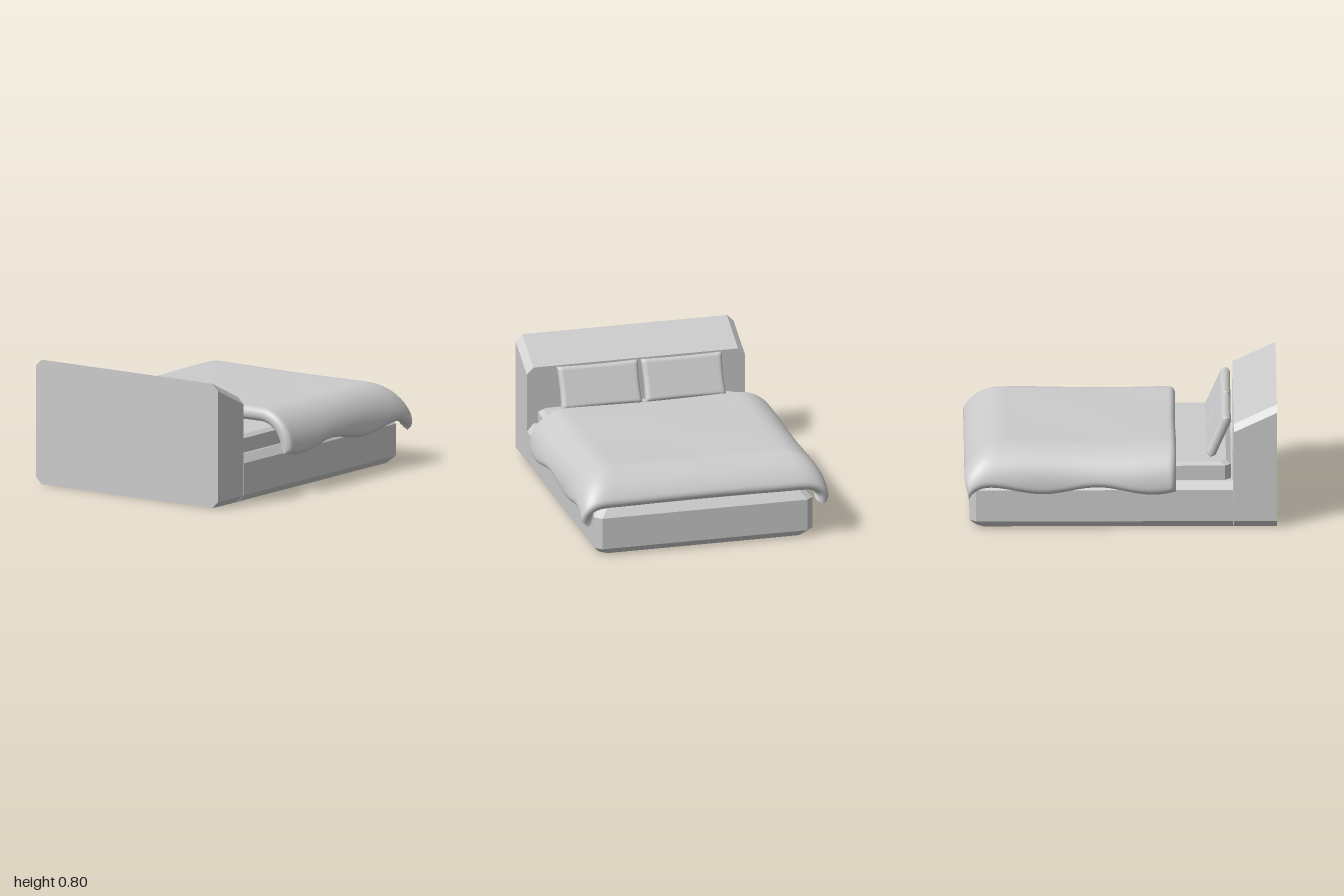
import * as THREE from 'three';
import { mergeVertices } from 'three/addons/utils/BufferGeometryUtils.js';
import { ConvexGeometry } from 'three/addons/geometries/ConvexGeometry.js';

const material = new THREE.MeshStandardMaterial({ color: 0xcccccc });

function part(name, geometry) {
  const mesh = new THREE.Mesh(geometry, material);
  mesh.name = name;
  return mesh;
}

// Bevelled block: each layer is [y, inset]; the head end may stay square
function bevelledBlock(x0, x1, halfZ, cut, layers, squareHead) {
  const points = [];
  for (const [y, inset] of layers) {
    const a = x0 + (squareHead ? 0 : inset), b = x1 - inset, w = halfZ - inset;
    const headCut = squareHead ? 0 : cut;
    for (const s of [-1, 1]) {
      points.push(
        new THREE.Vector3(b, y, s * (w - cut)), new THREE.Vector3(b - cut, y, s * w),
        new THREE.Vector3(a, y, s * (w - headCut)), new THREE.Vector3(a + headCut, y, s * w));
    }
  }
  return new ConvexGeometry(points);
}

// Closed padded sheet: a mid surface thickened along its normal, with rounded hems
function paddedSheet(mid, p0, p1, q0, q1, thick, hem, n) {
  const positions = [], index = [], e = 0.002;
  const ease = i => (1 - Math.cos(Math.PI * i / n)) / 2;
  const roundOff = d => Math.sqrt(Math.max(0, 1 - (1 - Math.min(d / hem, 1)) ** 2));
  for (const side of [1, -1]) {
    const start = positions.length / 3;
    for (let i = 0; i <= n; i++) {
      for (let j = 0; j <= n; j++) {
        const p = p0 + (p1 - p0) * ease(i), q = q0 + (q1 - q0) * ease(j);
        const dp = mid(p + e, q).sub(mid(p - e, q));
        const dq = mid(p, q + e).sub(mid(p, q - e));
        const h = thick * roundOff(Math.min(p - p0, p1 - p)) * roundOff(Math.min(q - q0, q1 - q));
        const v = mid(p, q).addScaledVector(dq.cross(dp).normalize(), side * h);
        positions.push(v.x, v.y, v.z);
        if (i < n && j < n) {
          const a = start + i * (n + 1) + j, b = a + 1, c = a + n + 1, d = c + 1;
          if (side > 0) index.push(a, b, c, b, d, c);
          else index.push(a, c, b, b, c, d);
        }
      }
    }
  }
  let geometry = new THREE.BufferGeometry();
  geometry.setAttribute('position', new THREE.Float32BufferAttribute(positions, 3));
  geometry.setIndex(index);
  geometry = mergeVertices(geometry, 1e-5);
  geometry.computeVertexNormals();
  return geometry;
}

// Distance along a cloth -> [reach, drop]: flat, then an arc, then straight down
function drape(s, flat, r) {
  if (s <= flat) return [s, 0];
  const angle = Math.min((s - flat) / r, Math.PI / 2);
  const rest = s - flat - angle * r;
  return [flat + r * Math.sin(angle), r * (1 - Math.cos(angle)) + rest];
}

function duvetSurface(p, q) {
  const [x, dropX] = drape(p, 0.71, 0.25);
  const hang = 1 + 0.03 * Math.sin(p * 9 + 3.6) * Math.abs(q);
  const [reach, dropZ] = drape(Math.abs(q) * hang, 0.56, 0.2);
  const ripple = 0.004 * Math.sin(p * 6 + 1) * Math.cos(q * 5);
  const sway = 0.008 * Math.cos(p * 6.5 + 0.6) * Math.min(1, dropZ * 5);
  return new THREE.Vector3(
    x + 0.006 * Math.cos(q * 6) * (p < 0 ? -p : 0),
    0.484 + ripple - Math.hypot(dropX, dropZ),
    Math.sign(q) * (reach + sway));
}

// Pillow sheet with edges drawn in slightly between the corners
function pillowSurface(p, q) {
  const a = p / 0.14, b = q / 0.265;
  return new THREE.Vector3(p * (0.965 + 0.035 * b * b), 0, q * (0.975 + 0.025 * a * a));
}

export function createModel() {
  const bed = new THREE.Group();
  bed.name = 'bed';

  // Headboard: eight-sided section with a sloping top
  const headPoints = [];
  for (const [x, top] of [[-1, 0.8], [-0.728, 0.672]]) {
    for (const s of [-1, 1]) {
      for (const [y, z] of [[0, 0.668], [0.045, 0.712], [top - 0.042, 0.712], [top, 0.668]]) {
        headPoints.push(new THREE.Vector3(x, y, s * z));
      }
    }
  }
  bed.add(part('headboard', new ConvexGeometry(headPoints)));

  // Base and mattress
  bed.add(part('base', bevelledBlock(-0.722, 0.937, 0.712, 0.042,
    [[0, 0.044], [0.045, 0], [0.25, 0], [0.3, 0.044]], true)));
  bed.add(part('mattress', bevelledBlock(-0.71, 0.88, 0.655, 0.038,
    [[0.295, 0], [0.393, 0], [0.412, 0.03]], false)));

  // Pillows leaning on the headboard
  const pillowGeometry = paddedSheet(pillowSurface, -0.14, 0.14, -0.265, 0.265, 0.032, 0.025, 32);
  for (const [name, z] of [['leftPillow', 0.262], ['rightPillow', -0.285]]) {
    const pillow = part(name, pillowGeometry);
    pillow.position.set(-0.635, 0.549, z);
    pillow.rotation.z = THREE.MathUtils.degToRad(-66);
    bed.add(pillow);
  }

  // Duvet draped over the sides and foot
  bed.add(part('duvet', paddedSheet(duvetSurface, -0.364, 1.01, -0.895, 0.895, 0.044, 0.04, 80)));

  return bed;
}
